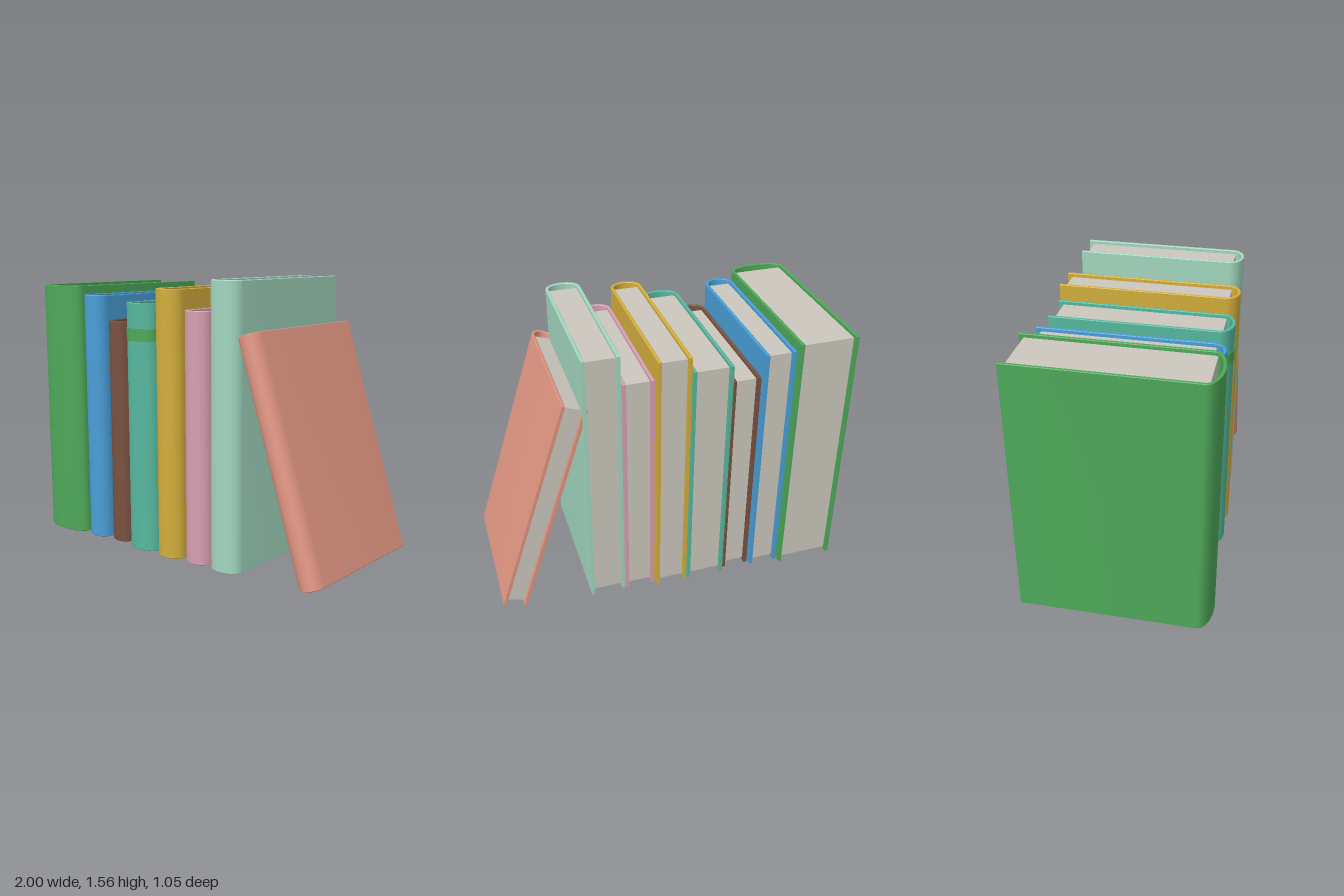
import * as THREE from 'three';
import { toCreasedNormals } from 'three/addons/utils/BufferGeometryUtils.js';

const material = (name, color) => new THREE.MeshStandardMaterial({ name, color });
const T = 0.018; // cover board thickness
const ARCH = 0.075; // depth of the rounded spine

// Points along a half ellipse bulging to +z, from the left edge to the right edge.
function arch(halfWidth, zStart, depth, steps = 16) {
  return Array.from({ length: steps + 1 }, (_, i) => {
    const a = Math.PI * (1 - i / steps);
    return new THREE.Vector2(halfWidth * Math.cos(a), -(zStart + depth * Math.sin(a)));
  });
}

// Extrudes a plan outline (x, -z) upwards with softly bevelled edges.
function extrudeUp(points, height, bevel) {
  const geometry = new THREE.ExtrudeGeometry(new THREE.Shape(points), {
    depth: height - 2 * bevel, steps: 1, curveSegments: 1, bevelEnabled: bevel > 0,
    bevelSize: bevel, bevelThickness: bevel, bevelOffset: -bevel, bevelSegments: 1,
  });
  geometry.translate(0, 0, bevel).rotateX(-Math.PI / 2);
  return toCreasedNormals(geometry, 0.6);
}

function makeBook({ name, w, h, back, front, cover, pages }) {
  const book = new THREE.Group();
  book.name = name;
  const half = w / 2, zStart = front - ARCH;

  // U-shaped cover: two boards joined by a hollow rounded spine
  const outline = [
    new THREE.Vector2(-half, -back),
    ...arch(half, zStart, ARCH),
    new THREE.Vector2(half, -back),
    new THREE.Vector2(half - T, -back),
    ...arch(half - T, zStart, ARCH - T).reverse(),
    new THREE.Vector2(-half + T, -back),
  ];
  const coverMesh = new THREE.Mesh(extrudeUp(outline, h, 0.003), cover);
  coverMesh.name = name + 'Cover';

  // Page block, set in from the board edges
  const z0 = back + 0.026, z1 = front - 0.057;
  const block = new THREE.Mesh(new THREE.BoxGeometry(w - 2 * T + 0.002, h - 0.04, z1 - z0), pages);
  block.position.set(0, h / 2, (z0 + z1) / 2);
  block.name = name + 'Pages';

  book.add(coverMesh, block);
  return book;
}

export function createModel() {
  const green = material('green', 0x4fa95a);
  const blue = material('blue', 0x4a9fd8);
  const brown = material('brown', 0x7a5140);
  const teal = material('teal', 0x57b89e);
  const gold = material('gold', 0xd3ae3c);
  const pink = material('pink', 0xd8a0b2);
  const mint = material('mint', 0xa2d7bf);
  const salmon = material('salmon', 0xdf9481);
  const pages = material('paper', 0xccc8be);

  const model = new THREE.Group();
  model.name = 'bookRow';

  // Upright books: name, left x, right x, height, half depth, cover
  const row = [
    ['greenBook', -1.0, -0.668, 1.5, 0.525, green],
    ['blueBook', -0.66, -0.49, 1.45, 0.495, blue],
    ['brownBook', -0.48, -0.323, 1.31, 0.47, brown],
    ['tealBook', -0.312, -0.09, 1.42, 0.495, teal],
    ['goldBook', -0.082, 0.1, 1.505, 0.495, gold],
    ['pinkBook', 0.11, 0.28, 1.395, 0.47, pink],
    ['mintBook', 0.288, 0.488, 1.56, 0.468, mint],
  ];
  for (const [name, x0, x1, h, d, cover] of row) {
    const book = makeBook({ name, w: x1 - x0, h, back: -d, front: d, cover, pages });
    book.position.x = (x0 + x1) / 2;
    model.add(book);
  }

  // Painted band round the teal spine
  const r = 0.111, zs = 0.495 - ARCH;
  const bandOutline = [...arch(r + 0.003, zs, ARCH + 0.003), ...arch(r - 0.002, zs, ARCH - 0.002).reverse()];
  const band = new THREE.Mesh(extrudeUp(bandOutline, 0.07, 0), green);
  band.position.set(-0.201, 1.21, 0);
  band.name = 'spineBand';
  model.add(band);

  // Last book leaning against the row
  const leaning = makeBook({ name: 'leaningBook', w: 0.14, h: 1.33, back: -0.443, front: 0.443, cover: salmon, pages });
  leaning.rotation.z = THREE.MathUtils.degToRad(18);
  leaning.position.set(0.933, 0.0216, 0);
  model.add(leaning);

  return model;
}
